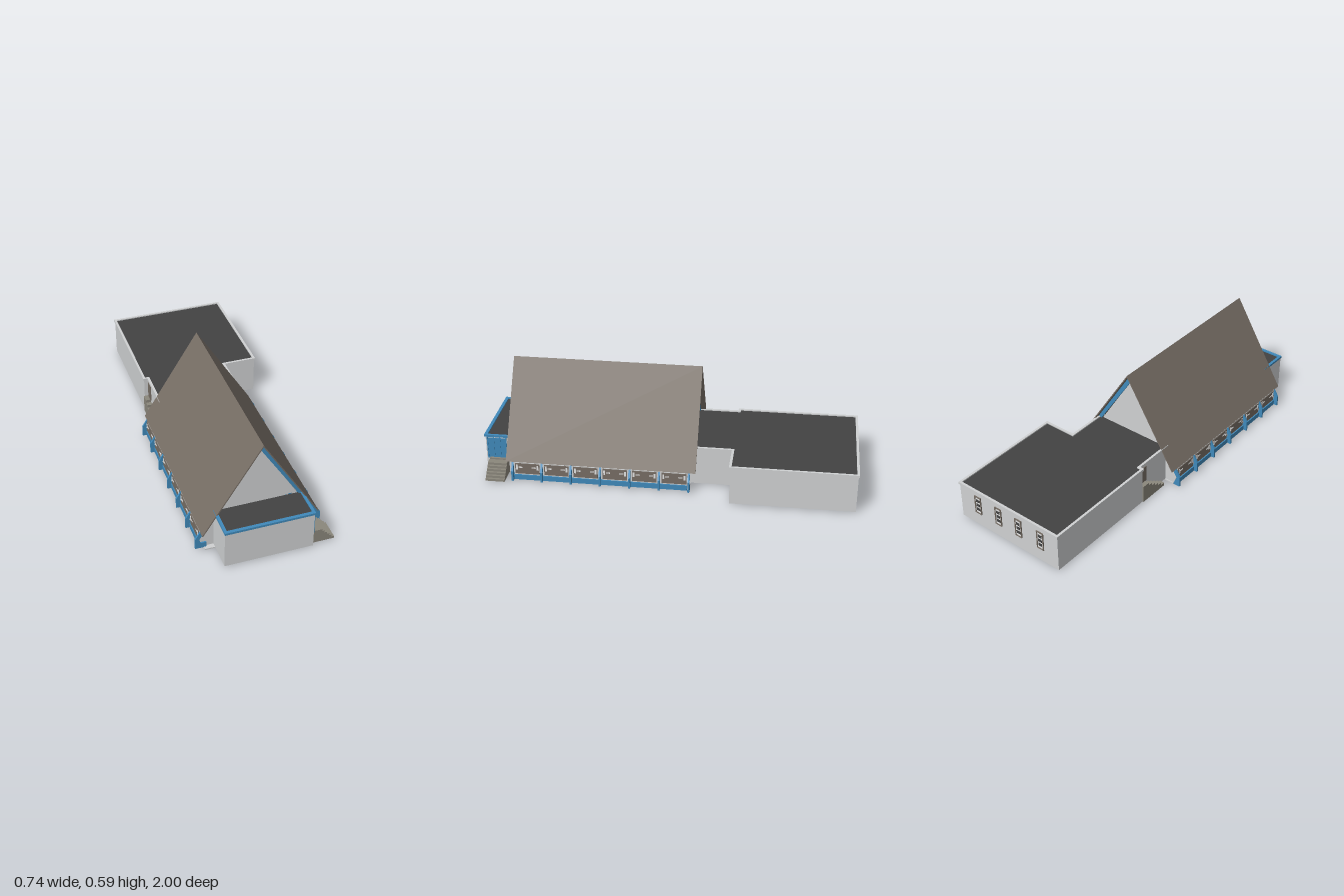
import * as THREE from 'three';

const CX = -0.042; // ridge line of the nave
const mat = (name, color) => {
  const m = new THREE.MeshStandardMaterial({ color });
  m.name = name;
  return m;
};

export function createModel() {
  const root = new THREE.Group();
  root.name = 'church';
  const wall = mat('light grey wall', 0xcfd1d2);
  const blue = mat('blue timber', 0x408abb);
  const brown = mat('brown roofing', 0x776e65);
  const black = mat('dark flat roof', 0x434343);
  const stone = mat('stone steps', 0x8b877c);
  const white = mat('white panes', 0xe6e6e6);

  const add = (name, geo, m, parent = root) => {
    const mesh = new THREE.Mesh(geo, m);
    mesh.name = name;
    parent.add(mesh);
    return mesh;
  };
  // Box given by its limits on each axis
  const box = (name, m, x0, x1, y0, y1, z0, z1, parent) => {
    const b = add(name, new THREE.BoxGeometry(x1 - x0, y1 - y0, z1 - z0), m, parent);
    b.position.set((x0 + x1) / 2, (y0 + y1) / 2, (z0 + z1) / 2);
    return b;
  };
  const toShape = (pts) => new THREE.Shape(pts.map(([x, y]) => new THREE.Vector2(x, y)));
  // Front-facing section extruded from z0 to z1
  const section = (pts, z0, z1) =>
    new THREE.ExtrudeGeometry(toShape(pts), { depth: z1 - z0, bevelEnabled: false }).translate(0, 0, z0);
  // Ground plan (x, z) raised from y0 to y1, with an optional hole
  const plan = (pts, y0, y1, hole) => {
    const s = toShape(pts);
    if (hole) s.holes.push(toShape(hole));
    return new THREE.ExtrudeGeometry(s, { depth: y1 - y0, bevelEnabled: false })
      .rotateX(Math.PI / 2).translate(0, y1, 0);
  };
  // Completes a half section about the ridge line
  const mirrored = (half) => [
    ...half.map(([u, y]) => [CX + u, y]),
    ...half.filter(([u]) => u > 0).reverse().map(([u, y]) => [CX - u, y]),
  ];

  // Nave: slab, body, roof
  box('baseSlab', wall, -0.325, 0.238, 0, 0.007, -0.12, 0.85);
  add('naveBody', section(mirrored([[0.285, 0.007], [0.302, 0.055], [0, 0.545]]), -0.115, 0.825), wall);
  const roof = [[CX + 0.303, 0.11], [CX, 0.593], [CX - 0.303, 0.11],
    [CX - 0.298, 0.107], [CX, 0.582], [CX + 0.298, 0.107]];
  add('naveRoof', section(roof, -0.155, 0.868), brown);

  // Seven A-shaped frames
  const frame = [
    [0.288, 0.007], [0.328, 0.007], [0.328, 0.066], [0, 0.587],
    [-0.328, 0.066], [-0.328, 0.007], [-0.288, 0.007], [-0.308, 0.06],
    [0, 0.54], [0.308, 0.06],
  ].map(([u, y]) => [CX + u, y]);
  const frameZ = Array.from({ length: 7 }, (_, i) => -0.12 + i * 0.1583);
  frameZ.forEach((z) => add('frame', section(frame, z - 0.005, z + 0.005), blue));

  // Sills and low windows between the frames
  for (const s of [-1, 1]) {
    const span = (a, b) => (s > 0 ? [CX + a, CX + b] : [CX - b, CX - a]);
    box('sill', blue, ...span(0.27, 0.308), 0.007, 0.036, -0.11, 0.833);
    box('windowWall', wall, ...span(0.26, 0.302), 0.036, 0.108, -0.11, 0.825);
    for (let i = 0; i < 6; i++) {
      const z = (frameZ[i] + frameZ[i + 1]) / 2;
      const bay = new THREE.Group();
      bay.name = 'sideWindow';
      root.add(bay);
      box('windowPanel', brown, ...span(0.298, 0.306), 0.043, 0.104, z - 0.066, z + 0.066, bay);
      for (const k of [-1, 1]) {
        box('pane', white, ...span(0.305, 0.308), 0.068, 0.096, z + k * 0.056 - 0.005, z + k * 0.056 + 0.005, bay);
        box('pane', white, ...span(0.305, 0.308), 0.079, 0.085, z + k * 0.036 - 0.011, z + k * 0.036 + 0.011, bay);
      }
    }
  }

  // Entrance block at the front
  box('entrance', wall, -0.273, 0.185, 0.007, 0.213, 0.82, 0.992);
  box('entranceRoof', black, -0.262, 0.176, 0.205, 0.219, 0.82, 0.982);
  add('entranceTrim', plan(
    [[-0.275, 0.82], [0.187, 0.82], [0.187, 1], [-0.275, 1]], 0.212, 0.224,
    [[-0.26, 0.825], [-0.26, 0.983], [0.173, 0.983], [0.173, 0.825]]), blue);
  box('entranceDoor', blue, 0.18, 0.188, 0.085, 0.207, 0.878, 0.985);
  for (const z of [0.88, 0.914, 0.948, 0.982])
    box('doorPost', blue, 0.186, 0.191, 0.085, 0.212, z - 0.003, z + 0.003);

  // Stepped profile descending along +x from (0, top)
  const stepProfile = (start, tread, top, count) => {
    const pts = [[0, 0]];
    const rise = top / count;
    pts.push([start + tread * (count - 1), 0]);
    for (let i = 1; i <= count; i++) {
      const x = start + tread * (count - i);
      pts.push([x, i * rise]);
      if (i < count) pts.push([x - tread, i * rise]);
    }
    pts.push([0, top]);
    return pts;
  };
  const frontSteps = section(stepProfile(0.052, 0.013, 0.076, 6), 0, 0.105);
  add('entranceSteps', frontSteps, stone).position.set(0.186, 0.007, 0.87);
  box('threshold', stone, 0.186, 0.2, 0.08, 0.091, 0.872, 0.973);

  // Rear annex and its connecting wing: open below
  const outline = (o) => [
    [-0.293 - o, -0.994 - o], [0.363 + o, -0.994 - o], [0.363 + o, -0.342 + o],
    [0.18 + o, -0.342 + o], [0.18 + o, -0.1], [-0.27 - o, -0.1],
    [-0.27 - o, -0.342 + o], [-0.293 - o, -0.342 + o],
  ];
  const inner = outline(-0.008).reverse();
  add('annexWalls', plan(outline(0), 0.007, 0.213, inner), wall);
  add('annexParapet', plan(outline(0.005), 0.212, 0.225, inner), wall);
  add('annexRoof', plan(outline(-0.006), 0.208, 0.219), black);

  // Four windows in the back wall
  for (const x of [-0.18, -0.036, 0.1, 0.24]) {
    const win = new THREE.Group();
    win.name = 'backWindow';
    win.position.set(x, 0.137, -0.994);
    root.add(win);
    box('windowBoard', white, -0.021, 0.021, -0.053, 0.053, -0.002, 0.002, win);
    for (const s of [-1, 1]) {
      box('jamb', brown, s * 0.019 - 0.003, s * 0.019 + 0.003, -0.053, 0.053, -0.005, 0.001, win);
      box('rail', brown, -0.021, 0.021, s * 0.051 - 0.003, s * 0.051 + 0.003, -0.005, 0.001, win);
    }
    for (const y of [-0.026, 0, 0.026])
      box('glazing', black, -0.011, 0.011, y - 0.008, y + 0.008, -0.004, 0.001, win);
  }

  // Side steps and door beside the connecting wing
  const sideSteps = section(stepProfile(0.045, 0.026, 0.1, 6), 0, 0.03).rotateY(-Math.PI / 2);
  add('sideSteps', sideSteps, stone).position.set(-0.269, 0.007, -0.34);
  box('sideDoor', brown, -0.274, -0.268, 0.107, 0.2, -0.335, -0.285);
  return root;
}
